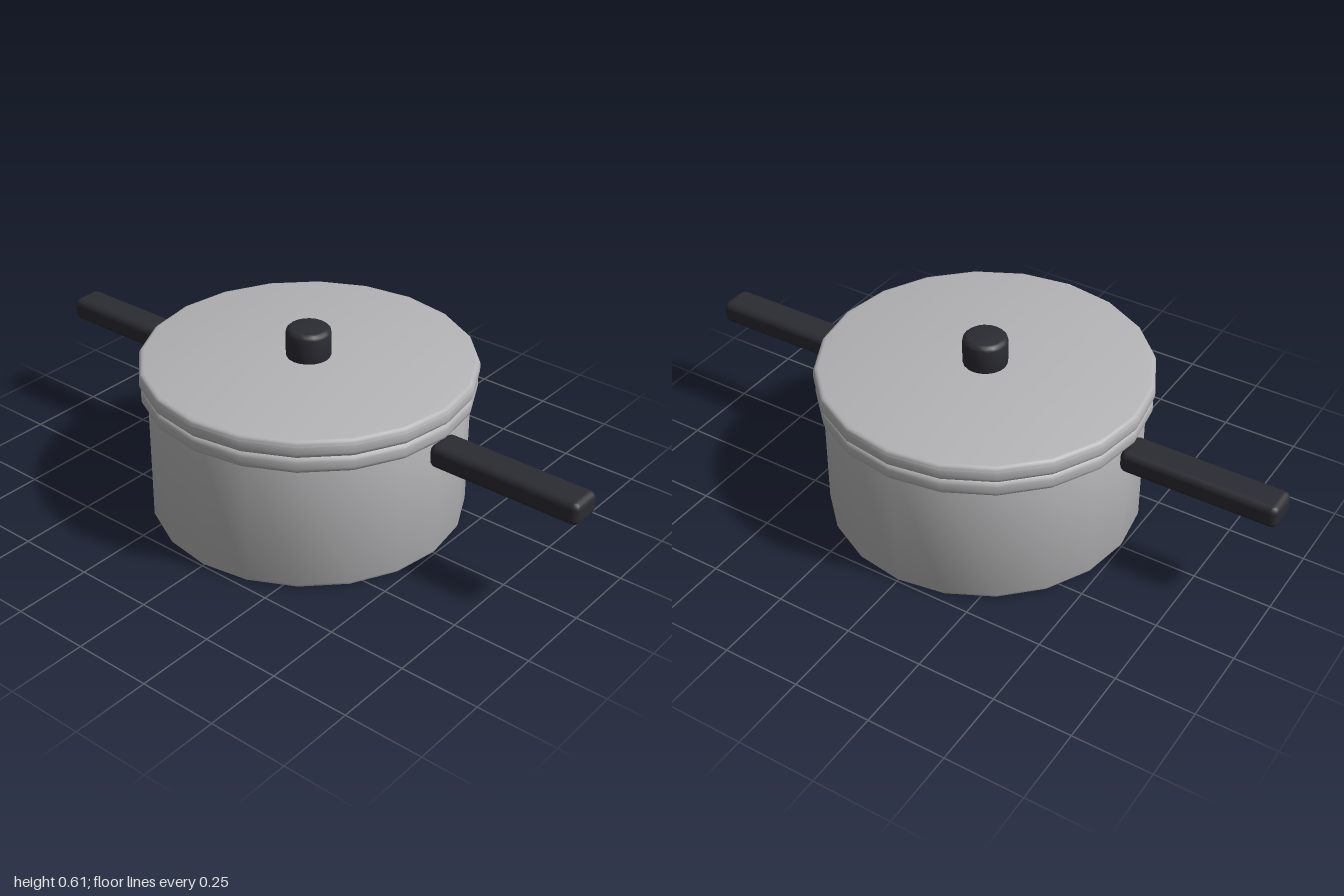
import * as THREE from 'three';
import { toCreasedNormals } from 'three/addons/utils/BufferGeometryUtils.js';
import { RoundedBoxGeometry } from 'three/addons/geometries/RoundedBoxGeometry.js';

const steel = new THREE.MeshStandardMaterial({ color: 0xb4b4b6 });
steel.name = 'steel';
const blackGrip = new THREE.MeshStandardMaterial({ color: 0x2b2b33 });
blackGrip.name = 'black grip';

// Solid disc between y0 and y1 whose rims are rounded in `steps` steps
function roundedDisc(name, radius, y0, y1, bevel, steps, material) {
  const points = [new THREE.Vector2(0, y0)];
  for (const [cy, start] of [[y0 + bevel, -Math.PI / 2], [y1 - bevel, 0]]) {
    for (let i = 0; i <= steps; i++) {
      const a = start + (i / steps) * Math.PI / 2;
      points.push(new THREE.Vector2(radius - bevel + Math.cos(a) * bevel, cy + Math.sin(a) * bevel));
    }
  }
  points.push(new THREE.Vector2(0, y1));
  const mesh = new THREE.Mesh(toCreasedNormals(new THREE.LatheGeometry(points, 20), 0.6), material);
  mesh.name = name;
  return mesh;
}

export function createModel() {
  const pot = new THREE.Group();
  pot.name = 'cookingPot';

  // Pot body, rim and lid
  pot.add(
    roundedDisc('body', 0.5, 0, 0.45, 0.014, 2, steel),
    roundedDisc('rim', 0.52, 0.41, 0.463, 0.016, 3, steel),
    roundedDisc('lid', 0.524, 0.462, 0.517, 0.016, 3, steel),
    roundedDisc('lidKnob', 0.07, 0.505, 0.61, 0.016, 3, blackGrip),
  );

  // Mirrored side handles
  for (const [side, name] of [[1, 'leftHandle'], [-1, 'rightHandle']]) {
    const handle = new THREE.Mesh(new RoundedBoxGeometry(0.505, 0.075, 0.11, 2, 0.022), blackGrip);
    handle.name = name;
    handle.position.set(side * 0.7475, 0.3725, 0);
    pot.add(handle);
  }
  return pot;
}
